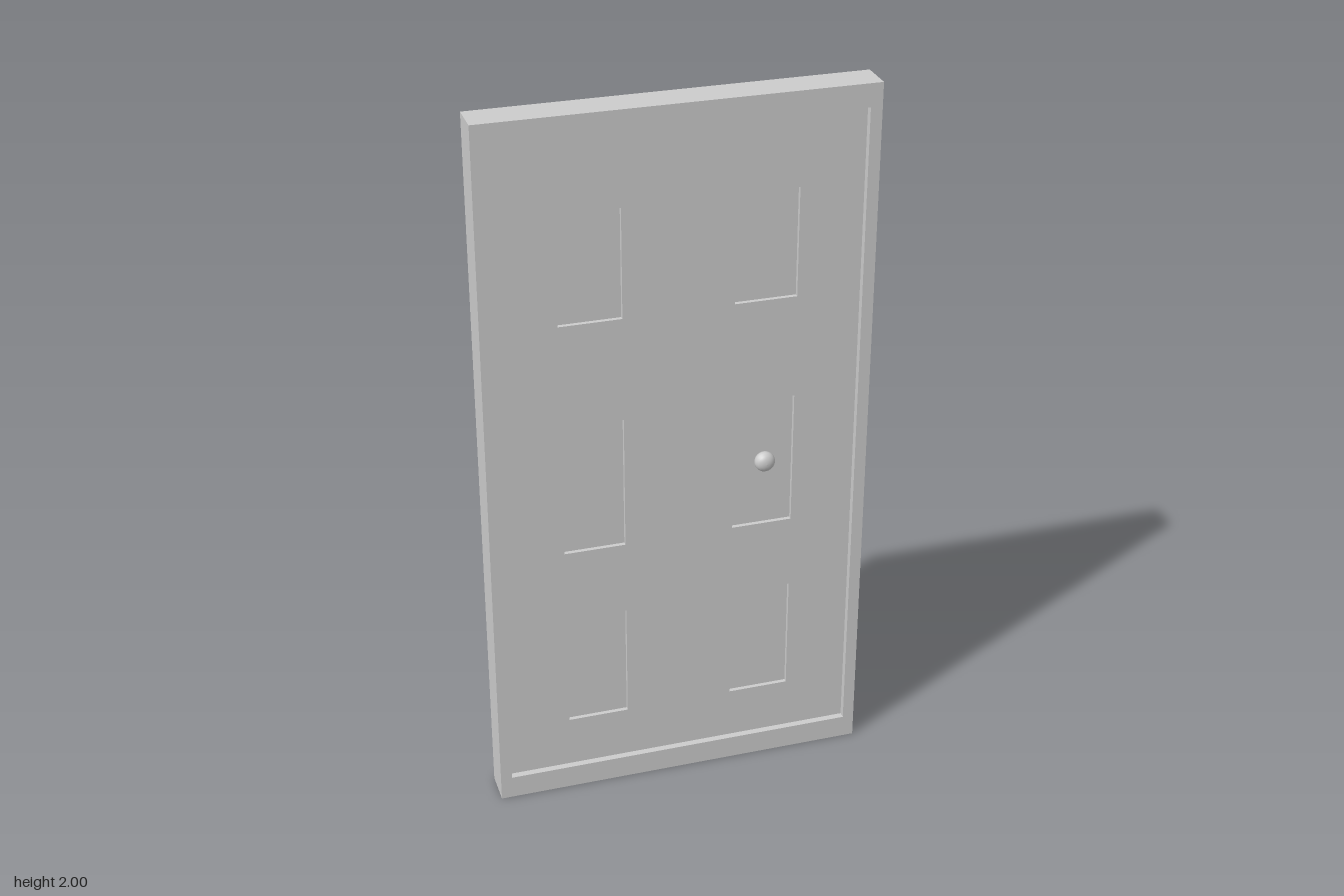
import * as THREE from 'three';

const MID = -0.009; // middle plane of the door's thickness
const grey = new THREE.MeshStandardMaterial({ color: 0xcccccc });

// Rectangles are [x0, y0, x1, y1]
function trace(path, [x0, y0, x1, y1]) {
  path.moveTo(x0, y0);
  path.lineTo(x1, y0);
  path.lineTo(x1, y1);
  path.lineTo(x0, y1);
  path.closePath();
  return path;
}

// Upright slab with rectangular holes, centred on the middle plane
function slab(name, rect, holes, depth) {
  const shape = trace(new THREE.Shape(), rect);
  shape.holes = holes.map((h) => trace(new THREE.Path(), h));
  const geometry = new THREE.ExtrudeGeometry(shape, { depth, bevelEnabled: false });
  geometry.translate(0, 0, MID - depth / 2);
  const mesh = new THREE.Mesh(geometry, grey);
  mesh.name = name;
  return mesh;
}

export function createModel() {
  const door = new THREE.Group();
  door.name = 'door';

  // Surrounding frame and the slightly thinner leaf inside it
  const opening = [-0.495, 0.066, 0.495, 1.937];
  door.add(slab('frame', [-0.527, 0, 0.527, 2], [opening], 0.098));

  // Three rows of paired panels, recessed on both faces
  const panels = [];
  for (const [y0, y1] of [[0.215, 0.548], [0.76, 1.142], [1.433, 1.737]]) {
    panels.push([-0.321, y0, -0.151, y1], [0.151, y0, 0.321, y1]);
  }
  door.add(slab('leaf', opening, panels, 0.06));
  for (const p of panels) door.add(slab('panel', p, [], 0.036));

  // Round knob with a slightly flattened front, on a short neck
  const profile = [
    [0, 0], [0.012, 0], [0.012, 0.008], [0.02, 0.012], [0.026, 0.019], [0.0285, 0.027],
    [0.0275, 0.035], [0.023, 0.042], [0.015, 0.047], [0.007, 0.049], [0, 0.0495],
  ].map(([r, h]) => new THREE.Vector2(r, h));
  const knob = new THREE.Mesh(new THREE.LatheGeometry(profile, 32), grey);
  knob.name = 'knob';
  knob.rotation.x = Math.PI / 2;
  knob.position.set(0.236, 0.963, 0.008);
  door.add(knob);

  return door;
}
